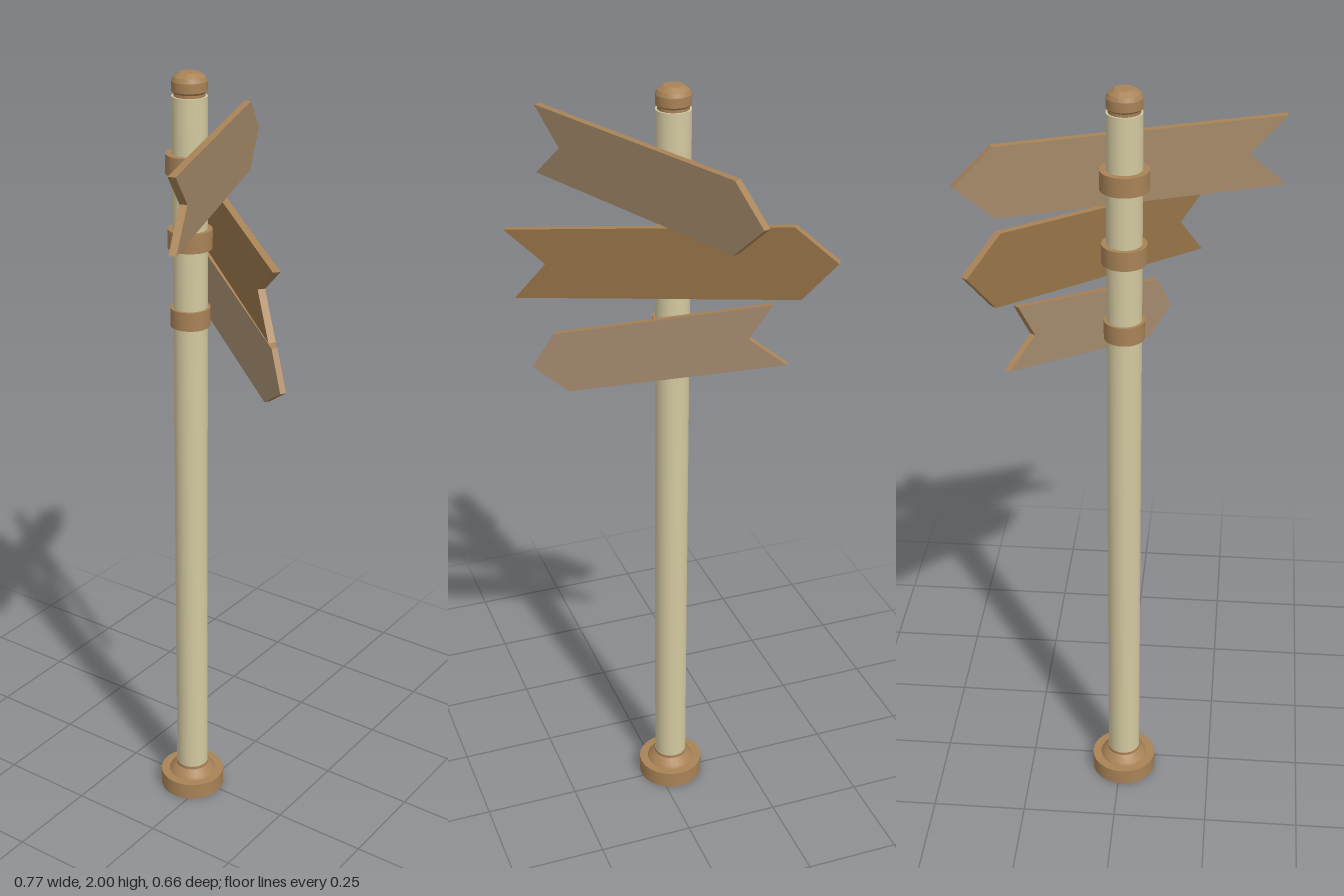
import * as THREE from 'three';
import { toCreasedNormals } from 'three/addons/utils/BufferGeometryUtils.js';

const POLE_X = -0.01, POLE_Z = -0.04;
const mat = (color) => new THREE.MeshStandardMaterial({ color });

// Turned part on the pole axis, profile given from bottom to top
function turned(name, profile, material) {
  const points = profile.map(([r, y]) => new THREE.Vector2(r, y));
  const geometry = toCreasedNormals(new THREE.LatheGeometry(points, 24), 0.4);
  const mesh = new THREE.Mesh(geometry, material);
  mesh.name = name;
  mesh.position.set(POLE_X, 0, POLE_Z);
  return mesh;
}

// Arrow board with a notched tail, running from tail to tip
function arrowBoard(name, tail, tip, height, point, thickness, materials) {
  const from = new THREE.Vector3(...tail);
  const dir = new THREE.Vector3(...tip).sub(from);
  const length = dir.length(), h = height / 2;
  const shape = new THREE.Shape([
    [0, -h], [length - point, -h], [length, 0], [length - point, h], [0, h], [point, 0],
  ].map(([x, y]) => new THREE.Vector2(x, y)));
  const geometry = new THREE.ExtrudeGeometry(shape, { depth: thickness, bevelEnabled: false });
  geometry.translate(0, 0, -thickness / 2);
  const mesh = new THREE.Mesh(geometry, materials);
  mesh.name = name;
  mesh.position.copy(from);
  mesh.rotation.set(0, Math.atan2(-dir.z, dir.x), Math.asin(dir.y / length));
  return mesh;
}

export function createModel() {
  const group = new THREE.Group();
  group.name = 'signpost';
  const wood = mat(0xa98357), cream = mat(0xd3c9a0);

  // Foot, pole and cap
  group.add(turned('base', [
    [0, 0], [0.087, 0], [0.087, 0.046], [0.064, 0.046], [0.06, 0.053], [0.044, 0.068], [0.044, 0.076], [0, 0.076],
  ], wood));
  group.add(turned('pole', [[0, 0.07], [0.043, 0.07], [0.043, 1.945], [0, 1.945]], cream));
  group.add(turned('cap', [
    [0, 1.94], [0.038, 1.94], [0.038, 1.952], [0.043, 1.957], [0.043, 1.98], [0.038, 1.99], [0.024, 2], [0, 2],
  ], wood));

  // Clamp rings behind the boards
  [[1.785, 0.059], [1.6, 0.055], [1.4, 0.05]].forEach(([y, r], i) => {
    const b = y - 0.024, t = y + 0.024;
    group.add(turned('clamp' + (i + 1), [[0.042, b], [r, b], [r, t], [0.042, t]], wood));
  });

  // Arrow boards
  group.add(arrowBoard('topBoard', [-0.38, 1.783, 0.182], [0.379, 1.783, -0.114],
    0.175, 0.096, 0.018, [mat(0xa58a69), wood]));
  group.add(arrowBoard('middleBoard', [-0.181, 1.547, 0.318], [0.322, 1.655, -0.322],
    0.177, 0.096, 0.018, [mat(0x987549), wood]));
  group.add(arrowBoard('lowerBoard', [0.237, 1.455, -0.22], [-0.098, 1.303, 0.293],
    0.156, 0.076, 0.015, [mat(0xa88d70), wood]));
  return group;
}
